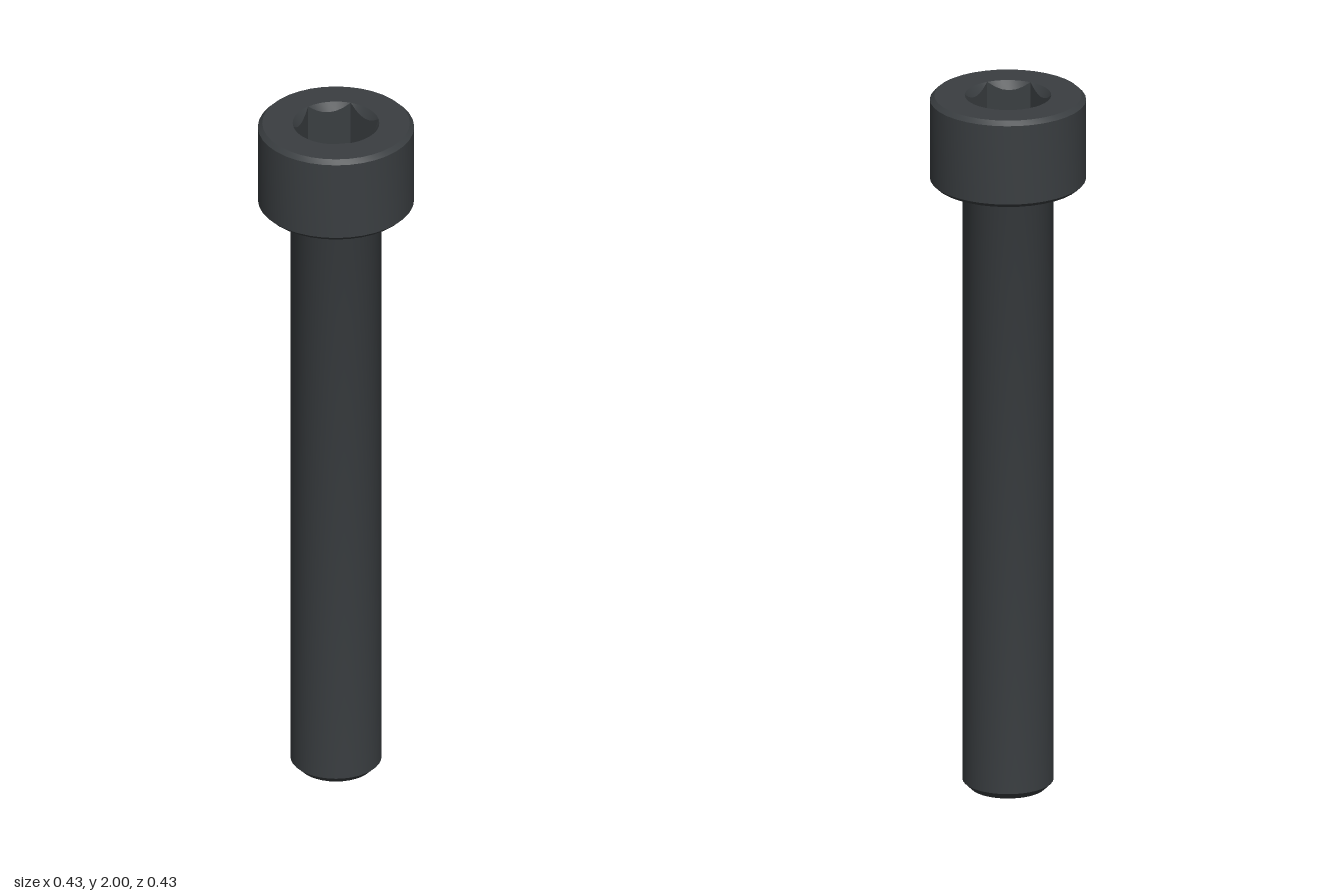
import * as THREE from 'three';
import { toCreasedNormals } from 'three/addons/utils/BufferGeometryUtils.js';

const SEG = 36;            // sides of all round parts
const TOP = 2, NECK = 1.75;
const HEAD_R = 0.2125, SHAFT_R = 0.124;
const HEX_FLAT = 0.102;    // centre to flat of the hexagon
const HEX_R = HEX_FLAT / Math.cos(Math.PI / 6);
const SOCKET_DEPTH = 0.125, SINK_SLOPE = 1.5;

const material = new THREE.MeshStandardMaterial({ color: 0x3a3e41 });

function addMesh(group, name, geometry) {
  const mesh = new THREE.Mesh(toCreasedNormals(geometry, 0.5), material);
  mesh.name = name;
  group.add(mesh);
}

const lathe = (profile) =>
  new THREE.LatheGeometry(profile.map(([r, y]) => new THREE.Vector2(r, y)), SEG);

// Hexagonal recess whose rim is cut by a conical countersink
function socketGeometry() {
  const positions = [];
  const tri = (...pts) => pts.forEach((p) => positions.push(...p));
  const inwardQuad = (low0, low1, high0, high1) => {
    tri(low0, high1, low1);
    tri(low0, high0, high1);
  };
  const floorY = TOP - SOCKET_DEPTH;
  const column = (i) => {
    const a = (i / SEG) * Math.PI * 2;
    const fromFlat = (a % (Math.PI / 3)) - Math.PI / 6;
    const r = HEX_FLAT / Math.cos(fromFlat);
    const at = (radius, y) => [radius * Math.cos(a), y, -radius * Math.sin(a)];
    return {
      rim: at(HEX_R, TOP),
      edge: at(r, TOP - (HEX_R - r) * SINK_SLOPE),
      floor: at(r, floorY),
    };
  };
  for (let i = 0; i < SEG; i++) {
    const p = column(i), q = column(i + 1);
    inwardQuad(p.edge, q.edge, p.rim, q.rim);
    inwardQuad(p.floor, q.floor, p.edge, q.edge);
    tri([0, floorY, 0], p.floor, q.floor);
  }
  const geometry = new THREE.BufferGeometry();
  geometry.setAttribute('position', new THREE.Float32BufferAttribute(positions, 3));
  geometry.computeVertexNormals();
  return geometry;
}

export function createModel() {
  const bolt = new THREE.Group();
  bolt.name = 'socketHeadBolt';

  // Shaft with chamfered tip and a small fillet under the head
  addMesh(bolt, 'shaft', lathe([
    [0, 0], [0.104, 0], [SHAFT_R, 0.02],
    [SHAFT_R, NECK - 0.012], [SHAFT_R + 0.004, NECK - 0.004], [SHAFT_R + 0.012, NECK],
  ]));

  // Head with chamfered edges, open in the middle for the socket
  addMesh(bolt, 'head', lathe([
    [SHAFT_R + 0.012, NECK], [HEAD_R - 0.011, NECK], [HEAD_R, NECK + 0.011],
    [HEAD_R, TOP - 0.012], [HEAD_R - 0.012, TOP], [HEX_R, TOP],
  ]));

  addMesh(bolt, 'hexSocket', socketGeometry());
  return bolt;
}
